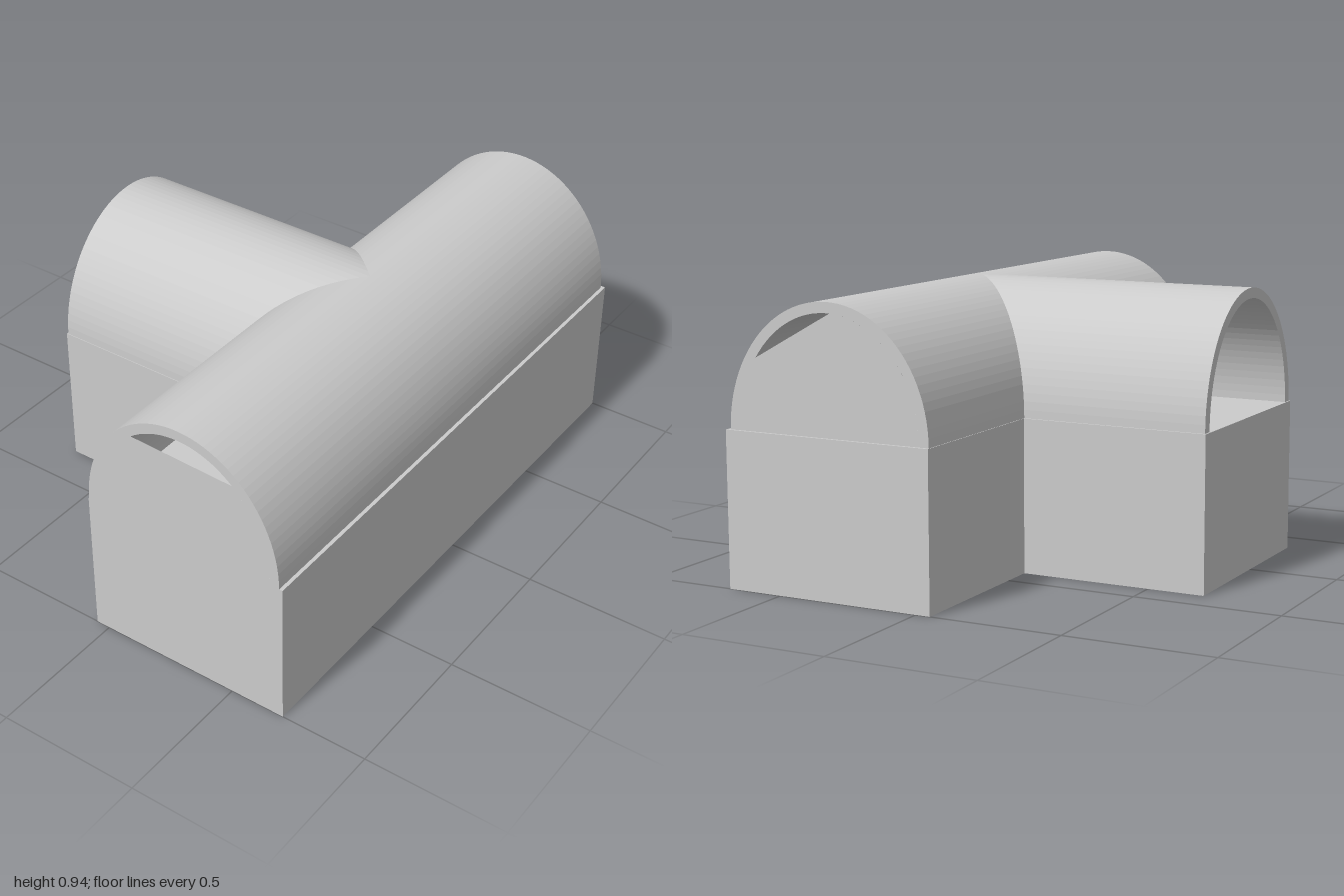
import * as THREE from 'three';

const CX = 0.3175, CZ = -0.0175;   // axes of the long hall and of the wing
const SPRING = 0.52;               // top of the base, where the vaults spring
const OUT = { a: 0.365, b: 0.425 }, INN = { a: 0.33, b: 0.39 };
const BACK = -0.99, FRONT = 1, WING_END = -0.69;
const N = 24;                      // segments per quarter of an arch

const mat = new THREE.MeshStandardMaterial({
  color: 0xcccccc, flatShading: true, side: THREE.DoubleSide,
});

function add(parent, name, geometry) {
  const mesh = new THREE.Mesh(geometry, mat);
  mesh.name = name;
  parent.add(mesh);
  return mesh;
}

// Point on an arch: u across, y up; t runs 0 (one side) to PI (other side)
const arch = (e, t) => [e.a * Math.cos(t), SPRING + e.b * Math.sin(t)];

// Thick vault shell between arch angles t0 and t1. Each point of the section
// runs along the axis from start(u) to end(u); place() maps to the model.
function vault(t0, t1, segments, start, end, place) {
  const pos = [];
  const quad = (a, b, c, d) => pos.push(...a, ...b, ...c, ...a, ...c, ...d);
  for (let i = 0; i < segments; i++) {
    const ta = t0 + ((t1 - t0) * i) / segments;
    const tb = t0 + ((t1 - t0) * (i + 1)) / segments;
    const corner = (e, t, along) => {
      const [u, y] = arch(e, t);
      return place(u, y, along(u));
    };
    const [oa0, ob0, oa1, ob1] = [corner(OUT, ta, start), corner(OUT, tb, start),
      corner(OUT, ta, end), corner(OUT, tb, end)];
    const [ia0, ib0, ia1, ib1] = [corner(INN, ta, start), corner(INN, tb, start),
      corner(INN, ta, end), corner(INN, tb, end)];
    quad(oa0, ob0, ob1, oa1);   // outside
    quad(ia0, ia1, ib1, ib0);   // inside
    quad(oa0, ia0, ib0, ob0);   // rim at the open end
    quad(oa1, ob1, ib1, ia1);   // rim at the far end
  }
  const g = new THREE.BufferGeometry();
  g.setAttribute('position', new THREE.Float32BufferAttribute(pos, 3));
  g.computeVertexNormals();
  return g;
}

// End wall filling the arch, cut off by a sloping chord between two angles
function gable(tRight, tLeft) {
  const s = new THREE.Shape();
  s.moveTo(INN.a, SPRING);
  for (let i = 1; i <= N; i++) s.lineTo(...arch(INN, (tRight * i) / N));
  for (let i = 0; i <= N; i++) s.lineTo(...arch(INN, tLeft + ((Math.PI - tLeft) * i) / N));
  s.closePath();
  return new THREE.ShapeGeometry(s);
}

export function createModel() {
  const model = new THREE.Group();
  model.name = 'vaultedBuilding';

  // T-shaped solid base
  const plan = new THREE.Shape([
    [-0.05, 1], [-0.05, 0.35], [-0.695, 0.35], [-0.695, -0.39],
    [-0.05, -0.39], [-0.05, -1], [0.695, -1], [0.695, 1],
  ].map(([x, z]) => new THREE.Vector2(x, -z)));
  const base = new THREE.ExtrudeGeometry(plan, { depth: SPRING, bevelEnabled: false });
  base.rotateX(-Math.PI / 2);
  add(model, 'base', base);

  // Long vault: whole right half, left half split where the wing joins
  const hall = new THREE.Group();
  hall.name = 'hallVault';
  model.add(hall);
  const alongZ = (u, y, s) => [CX + u, y, s];
  add(hall, 'rightHalf', vault(0, Math.PI / 2, N, () => BACK, () => FRONT, alongZ));
  add(hall, 'leftHalfBack',
    vault(Math.PI / 2, Math.PI, N, () => BACK, u => CZ - Math.abs(u), alongZ));
  add(hall, 'leftHalfFront',
    vault(Math.PI / 2, Math.PI, N, () => FRONT, u => CZ + Math.abs(u), alongZ));

  // Wing vault, open at its end and mitred into the long vault
  const alongX = (u, y, s) => [s, y, CZ + u];
  add(model, 'wingVault',
    vault(0, Math.PI, 2 * N, () => WING_END, u => CX - Math.abs(u), alongX));

  // End walls with a gap under the crown
  add(model, 'frontGable', gable(0.93, 2.15)).position.set(CX, 0, FRONT);
  add(model, 'backGable', gable(0.65, 1.62)).position.set(CX, 0, BACK);

  return model;
}
